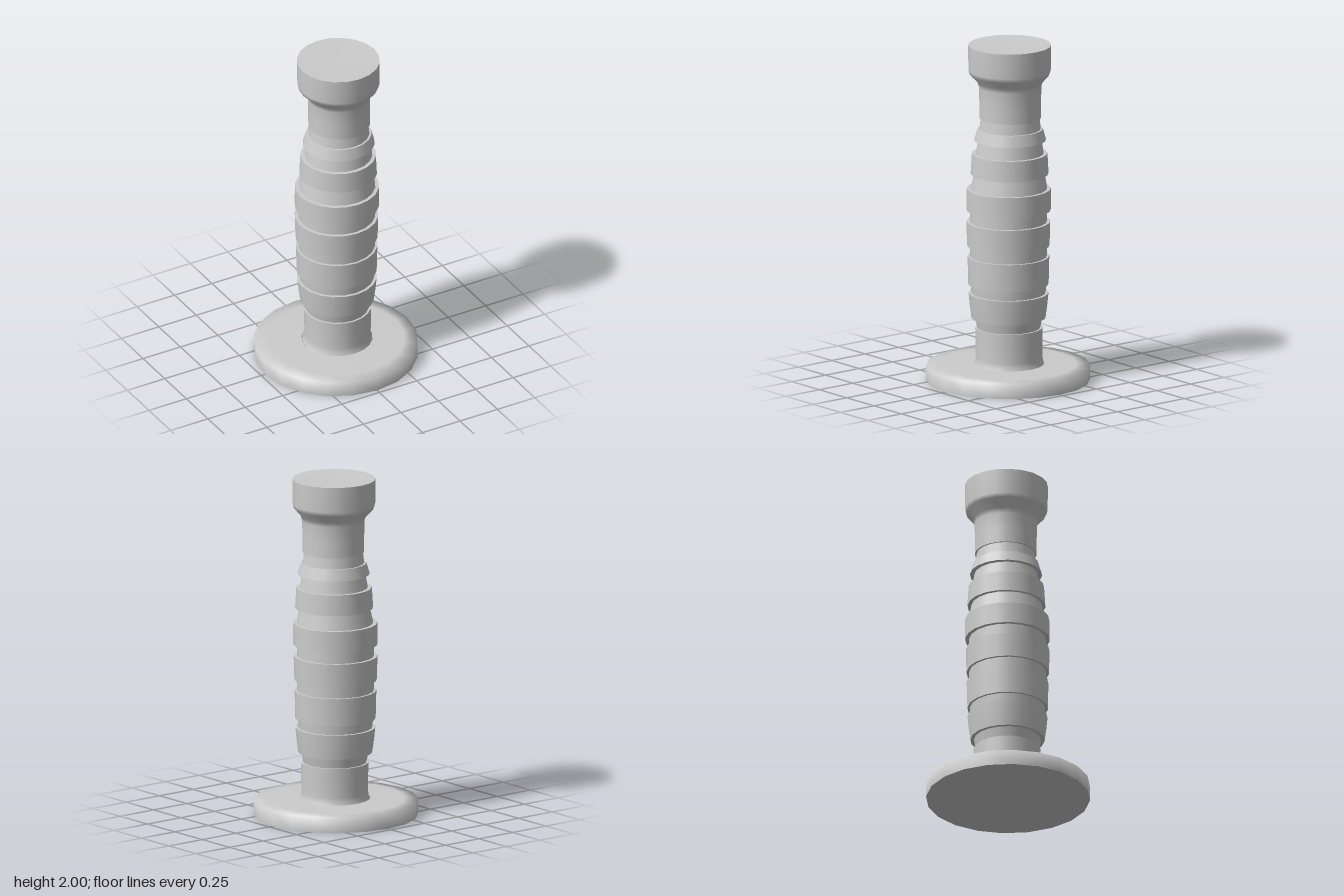
import * as THREE from 'three';

const SIDES = 20;
const material = new THREE.MeshStandardMaterial({ color: 0xcccccc });

// Smooth surface of revolution through [radius, y, centreX] points, bottom to top
function turned(name, points) {
  const geometry = new THREE.LatheGeometry(points.map(([r, y]) => new THREE.Vector2(r, y)), SIDES);
  const pos = geometry.attributes.position;
  for (let i = 0; i < pos.count; i++) {
    pos.setX(i, pos.getX(i) + (points[i % points.length][2] ?? 0));
  }
  const mesh = new THREE.Mesh(geometry, material);
  mesh.name = name;
  return mesh;
}

export function createModel() {
  const model = new THREE.Group();
  model.name = 'handle';

  // Round foot plate
  const base = new THREE.Group();
  base.name = 'base';
  base.add(
    turned('baseUnderside', [[0, 0], [0.475, 0]]),
    turned('baseRimAndTop', [[0.475, 0], [0.475, 0.09], [0.4, 0.096], [0.2, 0.1]]),
  );
  model.add(base);

  // Grip sections from bottom to top; a sharp step separates each pair
  const sections = [
    ['lowerShaft', [[0.205, 0.095, 0.01], [0.197, 0.115, 0.01], [0.193, 0.14, 0.01], [0.194, 0.23, 0.01], [0.195, 0.315, 0.008]]],
    ['groove', [[0.183, 0.315, 0.008], [0.195, 0.374, 0.006]]],
    ['band', [[0.215, 0.374, 0.005], [0.225, 0.45, 0.005], [0.232, 0.522, 0.005]]],
    ['groove', [[0.215, 0.522, 0.005], [0.219, 0.575, 0.005]]],
    ['band', [[0.233, 0.575, 0.004], [0.237, 0.74, 0.004]]],
    ['groove', [[0.223, 0.74, 0.004], [0.224, 0.803, 0.004]]],
    ['band', [[0.239, 0.803, 0.003], [0.243, 0.946, 0.003]]],
    ['groove', [[0.224, 0.946, 0.004], [0.223, 1.015, 0.005]]],
    ['band', [[0.245, 1.015, 0.005], [0.244, 1.142, 0.006]]],
    ['groove', [[0.222, 1.142, 0.008], [0.205, 1.232, 0.012]]],
    ['band', [[0.226, 1.232, 0.014], [0.219, 1.354, 0.015]]],
    ['groove', [[0.197, 1.354, 0.016], [0.183, 1.434, 0.018]]],
    ['band', [[0.209, 1.434, 0.018], [0.19, 1.5, 0.019]]],
    ['groove', [[0.178, 1.5, 0.019], [0.17, 1.565, 0.019]]],
    ['neckAndHead', [[0.179, 1.565, 0.02], [0.179, 1.66, 0.02], [0.181, 1.75, 0.02],
      [0.19, 1.78, 0.018], [0.232, 1.825, 0.015], [0.239, 1.85, 0.015], [0.241, 1.998, 0.015]]],
  ];
  const grip = new THREE.Group();
  grip.name = 'grip';
  sections.forEach(([name, points], i) => {
    grip.add(turned(name, points));
    const next = sections[i + 1];
    if (next) grip.add(turned('step', [points.at(-1), next[1][0]]));
  });
  // Flat end face, very slightly dished
  grip.add(turned('endCap', [[0.241, 1.998, 0.015], [0, 1.994, 0.015]]));
  model.add(grip);

  return model;
}
